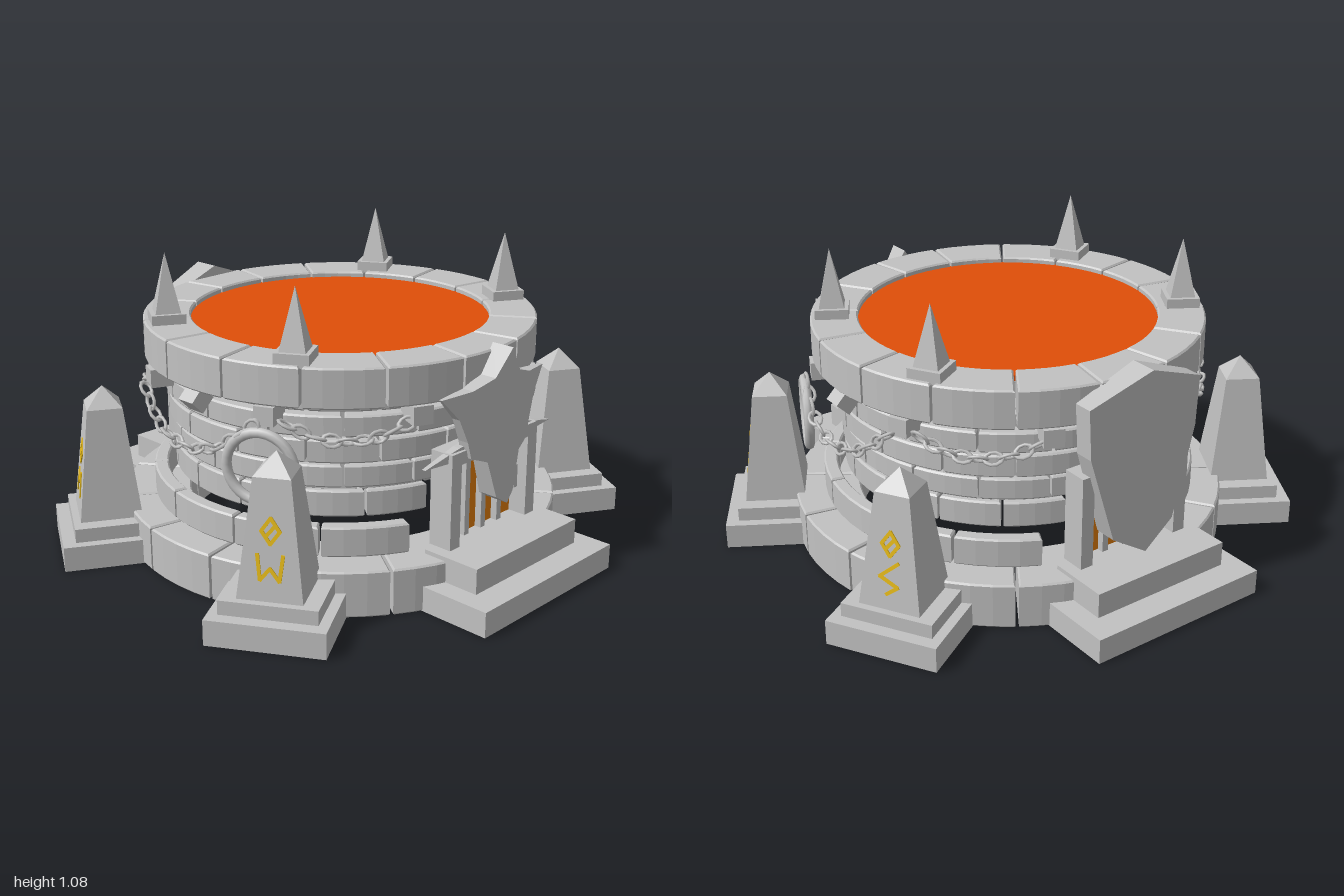
import * as THREE from 'three';

const paint = (name, color) => {
  const m = new THREE.MeshStandardMaterial({ color });
  m.name = name;
  return m;
};
const stone = paint('stone', 0xc2c2c2);
const lava = paint('lava', 0xe04e08);
const glow = paint('doorGlow', 0xe8800a);
const gold = paint('runeGold', 0xf2c41a);
const RAD = Math.PI / 180;

function add(parent, name, geo, mat, x = 0, y = 0, z = 0) {
  const m = new THREE.Mesh(geo, mat);
  m.name = name;
  m.position.set(x, y, z);
  parent.add(m);
  return m;
}

// box given by its lower and upper height
const block = (parent, name, w, y0, y1, d, x, z, mat = stone) =>
  add(parent, name, new THREE.BoxGeometry(w, y1 - y0, d), mat, x, (y0 + y1) / 2, z);

// four-sided flat-faced frustum, sized by its side lengths
function frustum(top, bottom, h) {
  const g = new THREE.CylinderGeometry(top * Math.SQRT1_2, bottom * Math.SQRT1_2, h, 4);
  g.rotateY(Math.PI / 4);
  const f = g.toNonIndexed();
  f.computeVertexNormals();
  return f;
}

// curved, bevelled masonry block; angles in degrees from +x
function brick(parent, name, r0, r1, y0, y1, a0, a1) {
  const b = 0.006, gap = 0.4;
  const s = new THREE.Shape();
  s.absarc(0, 0, r1, (a0 + gap) * RAD, (a1 - gap) * RAD, false);
  s.absarc(0, 0, r0, (a1 - gap) * RAD, (a0 + gap) * RAD, true);
  s.closePath();
  const g = new THREE.ExtrudeGeometry(s, {
    depth: y1 - y0 - 2 * b, curveSegments: 2, bevelEnabled: true,
    bevelThickness: b, bevelSize: b, bevelOffset: -b, bevelSegments: 1,
  });
  g.translate(0, 0, b);
  g.rotateX(-Math.PI / 2);
  add(parent, name, g, stone, 0, y0, 0);
}

function bricks(parent, name, r0, r1, y0, y1, start, end, n) {
  const step = (end - start) / n;
  for (let i = 0; i < n; i++) brick(parent, name, r0, r1, y0, y1, start + i * step, start + (i + 1) * step);
}

// symmetric plate folded along a centre ridge; half outline runs top to bottom
function ridgedPlate(half, zBack, zEdge, zRidge) {
  const p = [];
  const wide = Math.max(...half.map(([x]) => x));
  const tri = (a, b, c) => p.push(...a, ...b, ...c);
  const quad = (a, b, c, d) => { tri(a, b, c); tri(a, c, d); };
  for (const s of [1, -1]) {
    const front = ([x, y]) => [x * s, y, zRidge + (zEdge - zRidge) * x / wide];
    const back = ([x, y]) => [x * s, y, zBack];
    const mid = ([, y], z) => [0, y, z];
    for (let i = 0; i < half.length - 1; i++) {
      let [u, v] = [half[i], half[i + 1]];
      if (s < 0) [u, v] = [v, u];
      quad(mid(u, zRidge), mid(v, zRidge), front(v), front(u));
      quad(front(u), front(v), back(v), back(u));
      quad(mid(v, zBack), mid(u, zBack), back(u), back(v));
    }
  }
  const g = new THREE.BufferGeometry();
  g.setAttribute('position', new THREE.Float32BufferAttribute(p, 3));
  g.computeVertexNormals();
  return g;
}

// thin strokes joining points
function strokes(parent, pts) {
  for (let i = 0; i < pts.length - 1; i++) {
    const [ax, ay] = pts[i], [bx, by] = pts[i + 1];
    const m = add(parent, 'runeStroke', new THREE.BoxGeometry(Math.hypot(bx - ax, by - ay) + 0.006, 0.012, 0.006),
      gold, (ax + bx) / 2, (ay + by) / 2, 0);
    m.rotation.z = Math.atan2(by - ay, bx - ax);
  }
}

const peaks = [[-0.042, -0.1], [-0.032, -0.015], [0, -0.055], [0.032, -0.015], [0.042, -0.1]];
const valleys = peaks.map(([x, y]) => [x, -0.115 - y]);
const bolt = [[0.03, 0], [-0.035, -0.055], [0.03, -0.085], [-0.01, -0.115]];

// corner obelisk on a two-tier pedestal, outward along local +x
function obelisk(parent, angle, mark) {
  const g = new THREE.Group();
  g.name = 'obelisk';
  g.rotation.y = -angle * RAD;
  parent.add(g);
  block(g, 'pedestalBase', 0.35, 0, 0.09, 0.4, 0.875, 0);
  block(g, 'pedestalStep', 0.29, 0.09, 0.14, 0.33, 0.86, 0);
  add(g, 'obeliskShaft', frustum(0.125, 0.22, 0.4), stone, 0.87, 0.34, 0);
  add(g, 'obeliskTip', frustum(0, 0.125, 0.07), stone, 0.87, 0.575, 0);
  const rune = new THREE.Group();
  rune.name = 'rune';
  rune.rotation.set(-0.118, Math.PI / 2, 0, 'YXZ');
  rune.position.set(0.961, 0.31, 0);
  g.add(rune);
  strokes(rune, [[0, 0.105], [0.03, 0.062], [0, 0.02], [-0.03, 0.062], [0, 0.105]]);
  strokes(rune, [[-0.014, 0.045], [0.014, 0.08]]);
  strokes(rune, mark);
  // rim spike standing inward of the obelisk
  block(g, 'spikeBase', 0.12, 0.82, 0.865, 0.12, 0.63, 0);
  add(g, 'spike', frustum(0, 0.09, 0.21), stone, 0.63, 0.97, 0);
}

// doorway with steps, facing local +z
function doorway(parent, turn) {
  const g = new THREE.Group();
  g.name = 'doorway';
  g.rotation.y = turn;
  parent.add(g);
  block(g, 'lowerStep', 0.7, 0, 0.09, 0.3, 0, 0.83);
  block(g, 'upperStep', 0.55, 0.09, 0.18, 0.22, 0, 0.77);
  block(g, 'doorPanel', 0.37, 0.18, 0.485, 0.02, 0, 0.65, glow);
  for (const s of [-1, 1]) {
    block(g, 'doorPost', 0.05, 0.18, 0.5, 0.09, s * 0.205, 0.685);
    block(g, 'doorHandle', 0.02, 0.28, 0.365, 0.04, s * 0.165, 0.675);
  }
  for (const x of [-0.088, 0, 0.088]) block(g, 'doorBar', 0.024, 0.18, 0.485, 0.03, x, 0.67);
  block(g, 'lintel', 0.46, 0.475, 0.52, 0.09, 0, 0.685);
  return g;
}

// chain swag hung around the wall between two angles
function chain(parent, a0, a1, r, top, sag, n) {
  const at = (t) => {
    const a = (a0 + (a1 - a0) * t) * RAD;
    return new THREE.Vector3(Math.cos(a) * r, top - sag * (1 - (2 * t - 1) ** 2), Math.sin(a) * r);
  };
  const curve = new THREE.CatmullRomCurve3([0, 0.25, 0.5, 0.75, 1].map(at));
  const geo = new THREE.TorusGeometry(0.021, 0.006, 5, 10);
  geo.scale(curve.getLength() / n / 0.036, 1, 1);
  for (let i = 0; i < n; i++) {
    const t = (i + 0.5) / n;
    const m = add(parent, 'chainLink', geo, stone);
    m.position.copy(curve.getPointAt(t));
    m.quaternion.setFromUnitVectors(new THREE.Vector3(1, 0, 0), curve.getTangentAt(t));
    m.rotateX(i % 2 ? Math.PI / 4 : -Math.PI / 4);
  }
}

export function createModel() {
  const model = new THREE.Group();
  model.name = 'lavaFort';

  // foundation and rim rings
  bricks(model, 'foundationBlock', 0.56, 0.8, 0, 0.165, 11.25, 371.25, 16);
  bricks(model, 'rimBlock', 0.54, 0.71, 0.69, 0.83, 11.25, 371.25, 16);
  add(model, 'lavaPool', new THREE.CylinderGeometry(0.548, 0.548, 0.02, 64), lava, 0, 0.8, 0);

  // lowest courses, left open behind the doorways; the foot course stands further out
  for (const side of [0, 180]) {
    bricks(model, 'footBrick', 0.64, 0.69, 0.165, 0.272, side - 64, side + 64, 5);
    bricks(model, 'wallBrick', 0.55, 0.61, 0.275, 0.37, side - 73, side + 73, 7);
  }
  // full upper courses around an inset core
  bricks(model, 'wallCore', 0.56, 0.59, 0.365, 0.695, 5, 365, 16);
  bricks(model, 'wallBrick', 0.55, 0.615, 0.383, 0.462, 0, 360, 16);
  bricks(model, 'wallBrick', 0.55, 0.63, 0.475, 0.557, 11.25, 371.25, 16);
  bricks(model, 'wallBrick', 0.55, 0.64, 0.57, 0.645, 0, 360, 16);
  bricks(model, 'wallBrick', 0.55, 0.615, 0.65, 0.69, 11.25, 371.25, 16);

  // corner obelisks with rim spikes
  obelisk(model, 31, peaks);
  obelisk(model, 149, valleys);
  obelisk(model, 211, peaks);
  obelisk(model, 329, bolt);

  // doorways with a winged crest in front and a tall shield behind
  const front = doorway(model, 0);
  const back = doorway(model, Math.PI);
  add(front, 'crest', ridgedPlate([[0, 0.85], [0.065, 0.755], [0.15, 0.725], [0.27, 0.715], [0.2, 0.635],
    [0.165, 0.55], [0.15, 0.49], [0.085, 0.465], [0.045, 0.33], [0, 0.3]], 0.7, 0.712, 0.785), stone);
  add(front, 'crestWings', ridgedPlate([[0, 0.55], [0.18, 0.53], [0.335, 0.492], [0, 0.48]], 0.69, 0.705, 0.735), stone);
  add(back, 'shield', ridgedPlate([[0, 0.87], [0.235, 0.78], [0.225, 0.6], [0.13, 0.28], [0, 0.2]],
    0.69, 0.76, 0.79), stone);

  // chain brackets and chains
  for (const a of [0, 24, 66]) {
    for (const b of new Set([a, a ? -a : 180, 180 - a, 180 + a])) {
      const g = new THREE.Group();
      g.name = 'chainBracket';
      g.rotation.y = -b * RAD;
      model.add(g);
      const cube = block(g, 'bracket', 0.1, 0.625, 0.69, 0.07, 0.67, 0);
      if (a === 0) {
        // middle bracket is set on edge
        cube.position.x = 0.69;
        cube.scale.x = 0.65;
        cube.rotation.z = Math.PI / 4;
      }
    }
  }
  for (const side of [0, 180]) {
    chain(model, side - 23, side + 23, 0.74, 0.64, 0.14, 13);
    for (const s of [1, -1]) chain(model, side + s * 64, side + s * 28, 0.7, 0.64, 0.06, 9);
  }

  // large hanging rings
  for (const s of [1, -1]) {
    const ring = add(model, 'hangingRing', new THREE.TorusGeometry(0.12, 0.018, 8, 28), stone, s * 0.68, 0.49, 0.3);
    ring.rotation.y = s * 66 * RAD;
  }
  return model;
}
